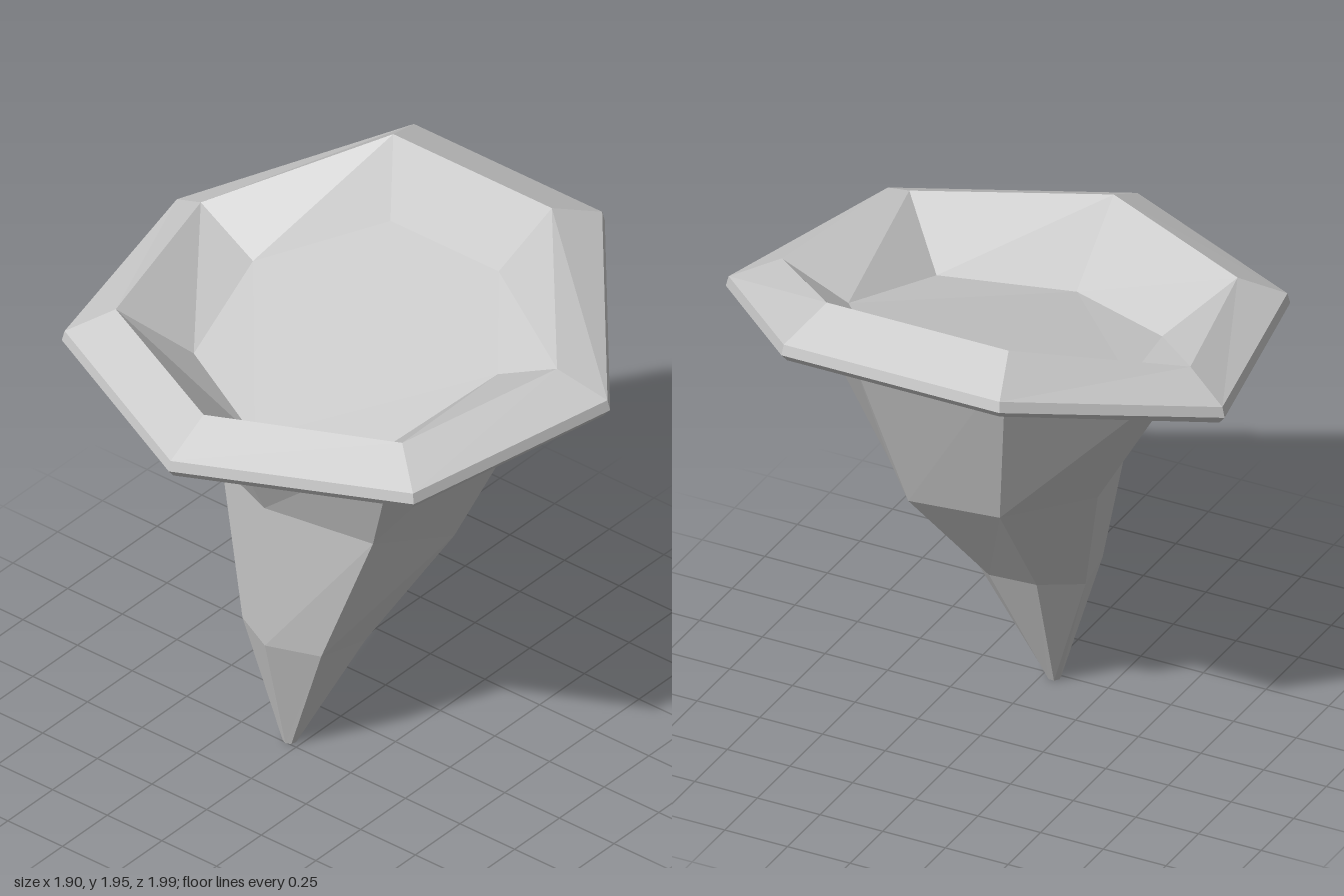
import * as THREE from 'three';

const SIDES = 7;

// Lofts a flat-shaded skin through seven-sided rings of [x, y, z] corners
function loft(name, rings, { closeStart = false, closeEnd = false } = {}) {
  const pos = [];
  const tri = (a, b, c) => pos.push(...a, ...b, ...c);
  for (let r = 0; r < rings.length - 1; r++) {
    for (let i = 0; i < SIDES; i++) {
      const j = (i + 1) % SIDES;
      const a = rings[r][i], b = rings[r][j], c = rings[r + 1][j], d = rings[r + 1][i];
      tri(a, b, c);
      tri(a, c, d);
    }
  }
  const first = rings[0], last = rings[rings.length - 1];
  for (let i = 1; i < SIDES - 1; i++) {
    if (closeStart) tri(first[0], first[i + 1], first[i]);
    if (closeEnd) tri(last[0], last[i], last[i + 1]);
  }
  const geo = new THREE.BufferGeometry();
  geo.setAttribute('position', new THREE.Float32BufferAttribute(pos, 3));
  geo.computeVertexNormals();
  const mesh = new THREE.Mesh(geo, new THREE.MeshStandardMaterial({
    color: 0xcccccc, flatShading: true, side: THREE.DoubleSide,
  }));
  mesh.name = name;
  return mesh;
}

export function createModel() {
  // Stem: tiny foot, two bends, then the joint under the cap
  const foot = Array.from({ length: SIDES }, (_, i) => {
    const a = Math.PI - (i / SIDES) * Math.PI * 2;
    return [-0.23 + 0.025 * Math.cos(a), 0, -0.045 + 0.025 * Math.sin(a)];
  }).map(([x, y, z]) => [x, y, z]);
  const lowerBend = [
    [-0.4, 0.51, -0.02], [-0.305, 0.49, 0.16], [-0.105, 0.475, 0.2], [0.04, 0.53, 0.075],
    [0.04, 0.54, -0.115], [-0.105, 0.5, -0.235], [-0.305, 0.5, -0.2],
  ];
  const upperBend = [
    [-0.415, 1.115, -0.01], [-0.26, 1.04, 0.36], [0.09, 0.925, 0.445], [0.39, 0.98, 0.215],
    [0.39, 1.01, -0.15], [0.09, 1.0, -0.385], [-0.26, 1.07, -0.33],
  ];
  const joint = [
    [-0.68, 1.61, -0.005], [-0.415, 1.62, 0.59], [0.205, 1.635, 0.76], [0.69, 1.82, 0.33],
    [0.69, 1.83, -0.33], [0.2, 1.64, -0.77], [-0.42, 1.62, -0.6],
  ];

  // Cap: outer edge outline, repeated as three thin rim rings
  const edge = [
    [-0.955, 1.565, -0.005], [-0.57, 1.57, 0.8], [0.29, 1.6, 0.995], [0.95, 1.815, 0.43],
    [0.95, 1.815, -0.44], [0.29, 1.6, -0.995], [-0.57, 1.57, -0.81],
  ];
  const rimRing = (scale, dy) => edge.map(([x, y, z]) => [x * scale, y + dy, z * scale]);
  const crest = [
    [-0.755, 1.7, -0.01], [-0.445, 1.7, 0.645], [0.225, 1.73, 0.805], [0.745, 1.945, 0.355],
    [0.745, 1.945, -0.37], [0.225, 1.73, -0.825], [-0.445, 1.7, -0.665],
  ];
  const basin = [
    [-0.47, 1.45, -0.01], [-0.26, 1.505, 0.44], [0.205, 1.605, 0.55], [0.595, 1.7, 0.235],
    [0.595, 1.7, -0.26], [0.205, 1.6, -0.57], [-0.26, 1.5, -0.46],
  ];

  const group = new THREE.Group();
  group.name = 'mushroom';
  group.add(
    loft('stem', [foot, lowerBend, upperBend, joint], { closeStart: true }),
    loft('cap', [joint, rimRing(0.975, -0.03), edge, rimRing(0.99, 0.04), crest, basin], { closeEnd: true }),
  );
  return group;
}
